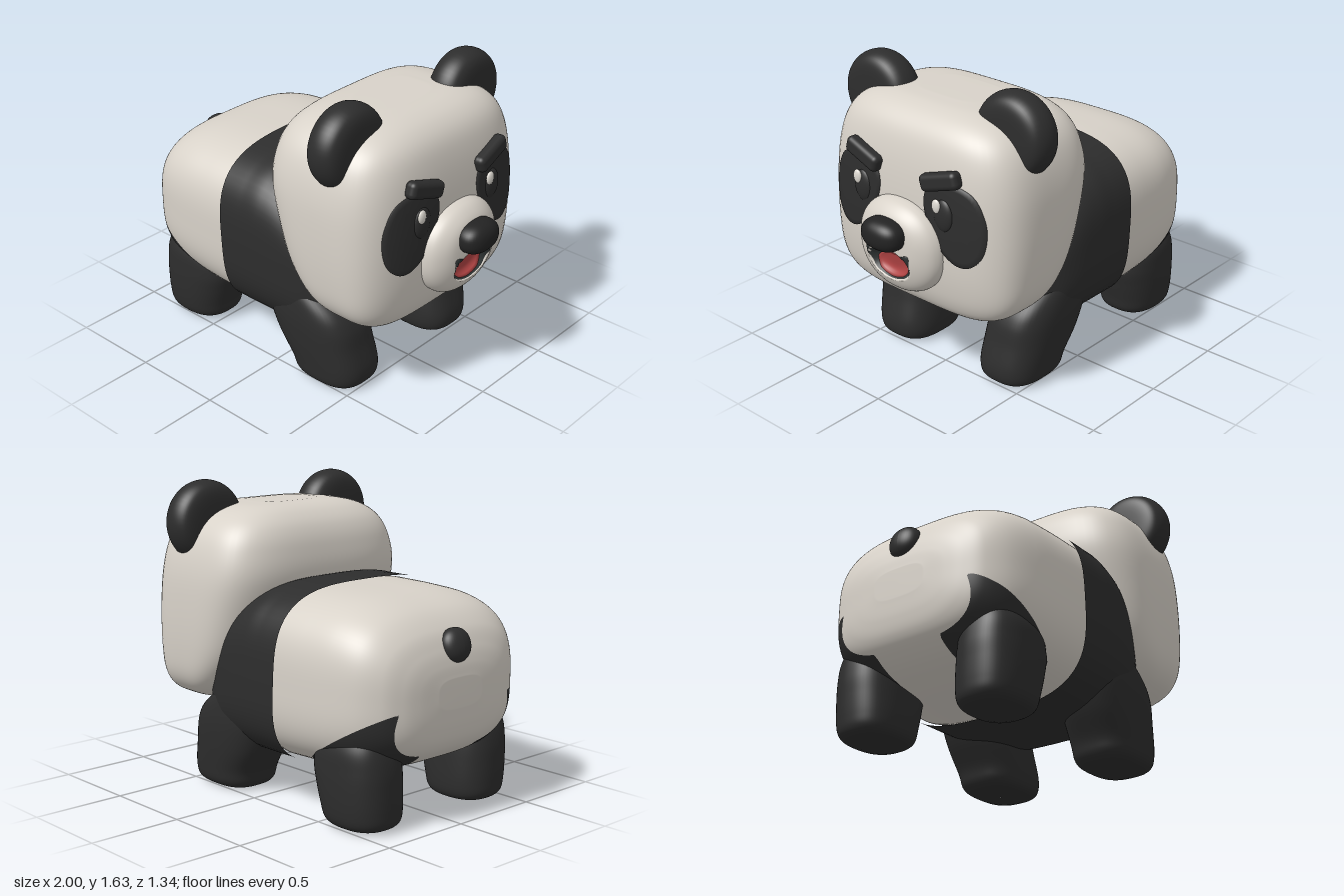
import * as THREE from 'three';
import { RoundedBoxGeometry } from 'three/addons/geometries/RoundedBoxGeometry.js';

const mat = (name, color) => Object.assign(new THREE.MeshStandardMaterial({ color }), { name });

// Smooth skin over rounded sections [a, u0, u1, v0, v1] placed along the x or y axis.
function loft(axis, stations, n, { rings = 60, segs = 96, capStart = true } = {}) {
  const curve = f => new THREE.CatmullRomCurve3(stations.map(f), false, 'catmullrom', 0.5);
  const low = curve(s => new THREE.Vector3(s[0], s[1], s[3]));
  const high = curve(s => new THREE.Vector3(s[0], s[2], s[4]));
  const pos = [], idx = [];
  const addRing = (t, size) => {
    const l = low.getPoint(t), h = high.getPoint(t);
    for (let j = 0; j < segs; j++) {
      const c = Math.cos(j / segs * 2 * Math.PI), s = Math.sin(j / segs * 2 * Math.PI);
      const r = size / Math.pow(Math.abs(c) ** n + Math.abs(s) ** n, 1 / n);
      const u = (l.y + h.y) / 2 + c * r * (h.y - l.y) / 2;
      const v = (l.z + h.z) / 2 + s * r * (h.z - l.z) / 2;
      pos.push(...(axis === 'x' ? [l.x, u, v] : [u, l.x, v]));
    }
  };
  if (capStart) addRing(0, 0.001);
  for (let i = 0; i <= rings; i++) addRing(i / rings, 1);
  addRing(1, 0.001);
  const count = pos.length / 3 / segs;
  for (let i = 0; i < count - 1; i++) for (let j = 0; j < segs; j++) {
    const a = i * segs + j, b = i * segs + (j + 1) % segs, c = a + segs, d = b + segs;
    idx.push(...(axis === 'x' ? [a, b, c, b, d, c] : [a, c, b, b, c, d]));
  }
  return finish(pos, idx);
}

function finish(pos, idx) {
  const g = new THREE.BufferGeometry();
  g.setAttribute('position', new THREE.Float32BufferAttribute(pos, 3));
  g.setIndex(idx);
  g.computeVertexNormals();
  return g;
}

// Move every vertex by a rule.
function warp(g, rule) {
  const p = g.attributes.position, v = new THREE.Vector3();
  for (let i = 0; i < p.count; i++) {
    rule(v.fromBufferAttribute(p, i));
    p.setXYZ(i, v.x, v.y, v.z);
  }
  g.computeVertexNormals();
  return g;
}

// Cut a surface cleanly where field(x, y, z) = 0: group 0 below zero, group 1 above.
function paintSplit(g, field) {
  const pos = [...g.attributes.position.array], ids = g.index.array, sides = [[], []];
  const value = i => field(pos[3 * i], pos[3 * i + 1], pos[3 * i + 2]);
  const cuts = new Map();
  const cut = (a, b) => {
    const key = Math.min(a, b) + '_' + Math.max(a, b);
    if (!cuts.has(key)) {
      const t = value(a) / (value(a) - value(b));
      cuts.set(key, pos.length / 3);
      for (let k = 0; k < 3; k++) pos.push(pos[3 * a + k] + t * (pos[3 * b + k] - pos[3 * a + k]));
    }
    return cuts.get(key);
  };
  for (let i = 0; i < ids.length; i += 3) {
    const tri = [ids[i], ids[i + 1], ids[i + 2]], up = tri.map(v => value(v) > 0 ? 1 : 0);
    const sum = up[0] + up[1] + up[2];
    if (sum % 3 === 0) { sides[up[0]].push(...tri); continue; }
    const odd = up.indexOf(sum === 1 ? 1 : 0);
    const [a, b, c] = [tri[odd], tri[(odd + 1) % 3], tri[(odd + 2) % 3]];
    const ab = cut(a, b), ac = cut(a, c);
    sides[up[odd]].push(a, ab, ac);
    sides[1 - up[odd]].push(ab, b, c, ab, c, ac);
  }
  const out = finish(pos, [...sides[0], ...sides[1]]);
  out.addGroup(0, sides[0].length, 0);
  out.addGroup(sides[0].length, sides[1].length, 1);
  return out;
}

// Thin patch with outline [z, y], laid on the +x side of a mesh.
function drape(target, outline, lift, steps = 56, rings = 8) {
  const pts = new THREE.CatmullRomCurve3(outline.map(([z, y]) => new THREE.Vector3(0, y, z)), true).getPoints(steps).slice(0, steps);
  if (THREE.ShapeUtils.area(pts.map(p => new THREE.Vector2(p.y, p.z))) < 0) pts.reverse();
  const mid = pts.reduce((m, p) => m.add(p), new THREE.Vector3()).divideScalar(steps);
  const ray = new THREE.Raycaster(), back = new THREE.Vector3(-1, 0, 0), pos = [], idx = [];
  target.updateMatrixWorld(true);
  for (let i = 0; i <= rings + 1; i++) for (const p of pts) {
    const q = mid.clone().lerp(p, Math.max(0.002, Math.min(i / rings, 1))).setX(3);
    ray.set(q, back);
    const hit = ray.intersectObject(target)[0];
    pos.push((hit ? hit.point.x : 0.7) + (i > rings ? -0.005 : lift), q.y, q.z);
  }
  for (let i = 0; i <= rings; i++) for (let j = 0; j < steps; j++) {
    const a = i * steps + j, b = i * steps + (j + 1) % steps, c = a + steps, d = b + steps;
    idx.push(a, c, b, b, c, d);
  }
  return finish(pos, idx);
}

// Rounded lump; power below 1 makes it boxier.
const blob = (rx, ry, rz, power = 1) => warp(new THREE.SphereGeometry(1, 40, 28), v => {
  const f = c => Math.sign(c) * Math.abs(c) ** power;
  v.set(f(v.x) * rx, f(v.y) * ry, f(v.z) * rz);
});

export function createModel() {
  const white = mat('warm white fur', 0xd8d2c9), black = mat('black fur', 0x2d2d2d);
  const noseBlack = mat('nose black', 0x232323), mouthDark = mat('mouth dark', 0x303535);
  const red = mat('tongue red', 0xb04343), shine = mat('eye shine', 0xdedad2);
  const model = new THREE.Group();
  const add = (name, geo, material, x = 0, y = 0, z = 0) => {
    const m = new THREE.Mesh(geo, material);
    m.name = name;
    m.position.set(x, y, z);
    model.add(m);
    return m;
  };
  const pair = (name, build) => { // left part plus its mirrored twin
    const left = new THREE.Group();
    left.name = name + 'Left';
    build((...args) => { const m = add(...args); left.add(m); return m; });
    const right = left.clone();
    right.name = name + 'Right';
    right.scale.z = -1;
    model.add(left, right);
  };
  const even = rows => rows.map(([a, u0, u1, w]) => [a, u0, u1, -w, w]);

  // Rear body with dark thigh markings
  const body = loft('x', even([
    [-0.983, 0.6, 0.75, 0.15], [-0.973, 0.5, 0.82, 0.28], [-0.95, 0.42, 0.895, 0.375], [-0.9, 0.36, 0.985, 0.465],
    [-0.8, 0.3, 1.068, 0.542], [-0.65, 0.26, 1.115, 0.583], [-0.45, 0.24, 1.13, 0.596], [-0.22, 0.23, 1.135, 0.598],
  ]), 3.2, { rings: 90, segs: 128 });
  add('rearBody', paintSplit(body, (x, y, z) => Math.min(
    0.62 - 0.58 * (x + 0.94) - 1.2 * Math.max(0, 0.38 - Math.abs(z)) - y,
    x + 0.945 - 0.15 * (0.62 - y), -0.42 - x, Math.abs(z) - 0.2)), [white, black]);

  // Shoulder band and chest
  const chest = loft('x', even([
    [-0.31, 0.215, 1.15, 0.607], [-0.18, 0.215, 1.15, 0.607], [-0.05, 0.215, 1.145, 0.605], [0.1, 0.22, 1.08, 0.59],
    [0.22, 0.23, 0.92, 0.55], [0.34, 0.27, 0.72, 0.47], [0.42, 0.36, 0.56, 0.32],
  ]), 3.3, { capStart: false });
  add('shoulderBand', warp(chest, v => { v.x += 0.05 * (1.15 - v.y) / 0.935; }), black);

  // Legs
  pair('frontLeg', put => put('foreleg', loft('y', [
    [0.006, 0.17, 0.45, 0.26, 0.47], [0.018, 0.13, 0.49, 0.22, 0.51], [0.05, 0.1, 0.517, 0.197, 0.537],
    [0.12, 0.075, 0.522, 0.19, 0.55], [0.24, 0, 0.498, 0.195, 0.566], [0.36, -0.05, 0.475, 0.21, 0.575],
    [0.45, -0.06, 0.42, 0.23, 0.572], [0.54, -0.05, 0.3, 0.26, 0.56], [0.63, 0, 0.17, 0.3, 0.53],
  ], 2.8, { segs: 64 }), black));
  pair('rearLeg', put => put('hindLeg', loft('y', [
    [0.012, -0.81, -0.56, 0.27, 0.47], [0.024, -0.85, -0.52, 0.23, 0.51], [0.056, -0.876, -0.49, 0.208, 0.536],
    [0.12, -0.884, -0.474, 0.2, 0.549], [0.22, -0.887, -0.448, 0.2, 0.556], [0.32, -0.886, -0.43, 0.205, 0.556],
    [0.42, -0.87, -0.46, 0.22, 0.546], [0.52, -0.83, -0.56, 0.26, 0.5],
  ], 2.5, { segs: 64 }), black));

  // Tail
  add('tail', blob(0.062, 0.087, 0.088, 0.95), black, -0.94, 0.903, 0).rotation.z = -0.25;

  // Head
  const head = add('head', loft('y', even([
    [0.44, 0.5, 0.62, 0.22], [0.45, 0.43, 0.665, 0.38], [0.475, 0.355, 0.705, 0.475], [0.525, 0.27, 0.737, 0.556],
    [0.61, 0.18, 0.762, 0.606], [0.75, 0.08, 0.78, 0.628], [0.95, 0.005, 0.784, 0.636], [1.15, -0.047, 0.776, 0.628],
    [1.3, -0.037, 0.755, 0.595], [1.4, 0, 0.72, 0.54], [1.465, 0.06, 0.66, 0.455], [1.5, 0.13, 0.58, 0.34], [1.512, 0.22, 0.48, 0.2],
  ]), 3.7, { rings: 84 }), white);

  // Ears: thick rounded discs
  const earProfile = [[0, -0.102], [0.12, -0.1], [0.18, -0.085], [0.21, -0.05], [0.22, 0], [0.21, 0.05], [0.18, 0.085], [0.12, 0.1], [0, 0.102]];
  const earCurve = new THREE.SplineCurve(earProfile.map(([r, h]) => new THREE.Vector2(r, h)));
  const earPoints = earCurve.getPoints(40).map(q => new THREE.Vector2(Math.max(0, q.x), q.y));
  pair('ear', put => {
    put('earDisc', new THREE.LatheGeometry(earPoints, 48).rotateZ(-Math.PI / 2), black, 0.447, 1.415, 0.45);
  });

  // Muzzle with a hollow for the mouth
  const muzzleGeo = loft('x', even([
    [0.7, 0.6, 1.03, 0.24], [0.77, 0.57, 1.06, 0.267], [0.82, 0.577, 1.055, 0.257], [0.86, 0.615, 1.03, 0.222],
    [0.89, 0.685, 0.99, 0.165], [0.905, 0.765, 0.93, 0.085], [0.91, 0.82, 0.87, 0.02],
  ]), 2.2, { rings: 100 });
  const muzzle = add('muzzle', warp(muzzleGeo, v => {
    const d = (v.z / 0.14) ** 2 + ((v.y - 0.742) / 0.09) ** 2;
    if (v.x > 0.8 && d < 1) v.x -= 0.07 * (1 - d * d);
  }), white);
  add('mouth', drape(muzzle, [
    [0.14, 0.822], [0.08, 0.808], [0, 0.803], [-0.08, 0.808], [-0.14, 0.822],
    [-0.138, 0.75], [-0.1, 0.685], [0, 0.656], [0.1, 0.685], [0.138, 0.75],
  ], 0.004), mouthDark);
  add('tongue', drape(muzzle, [
    [0.104, 0.74], [0.065, 0.77], [0, 0.777], [-0.065, 0.77], [-0.104, 0.74], [-0.085, 0.688], [0, 0.662], [0.085, 0.688],
  ], 0.009), red);
  add('nose', blob(0.085, 0.082, 0.125, 0.85), noseBlack, 0.912, 0.912, 0);

  // Eye patches, eyes and slanted brows
  pair('eye', put => {
    put('eyePatch', drape(head, [
      [0.35, 1.21], [0.44, 1.175], [0.495, 1.08], [0.51, 0.98], [0.487, 0.87], [0.43, 0.81], [0.36, 0.8],
      [0.28, 0.84], [0.21, 0.93], [0.16, 1.04], [0.155, 1.12], [0.18, 1.17], [0.25, 1.2],
    ], 0.009), black);
    put('eyeball', blob(0.026, 0.085, 0.06), black, 0.777, 1.045, 0.275);
    const brow = put('brow', new RoundedBoxGeometry(0.07, 0.09, 0.235, 5, 0.028), black, 0.778, 1.222, 0.26);
    brow.rotation.set(-0.3, -0.08, 0);
  });

  // Both highlights sit toward the same side, as from one light
  for (const [side, z] of [['Left', 0.297], ['Right', -0.245]])
    add('eyeShine' + side, blob(0.014, 0.037, 0.027), shine, 0.797, 1.093, z);

  return model;
}
